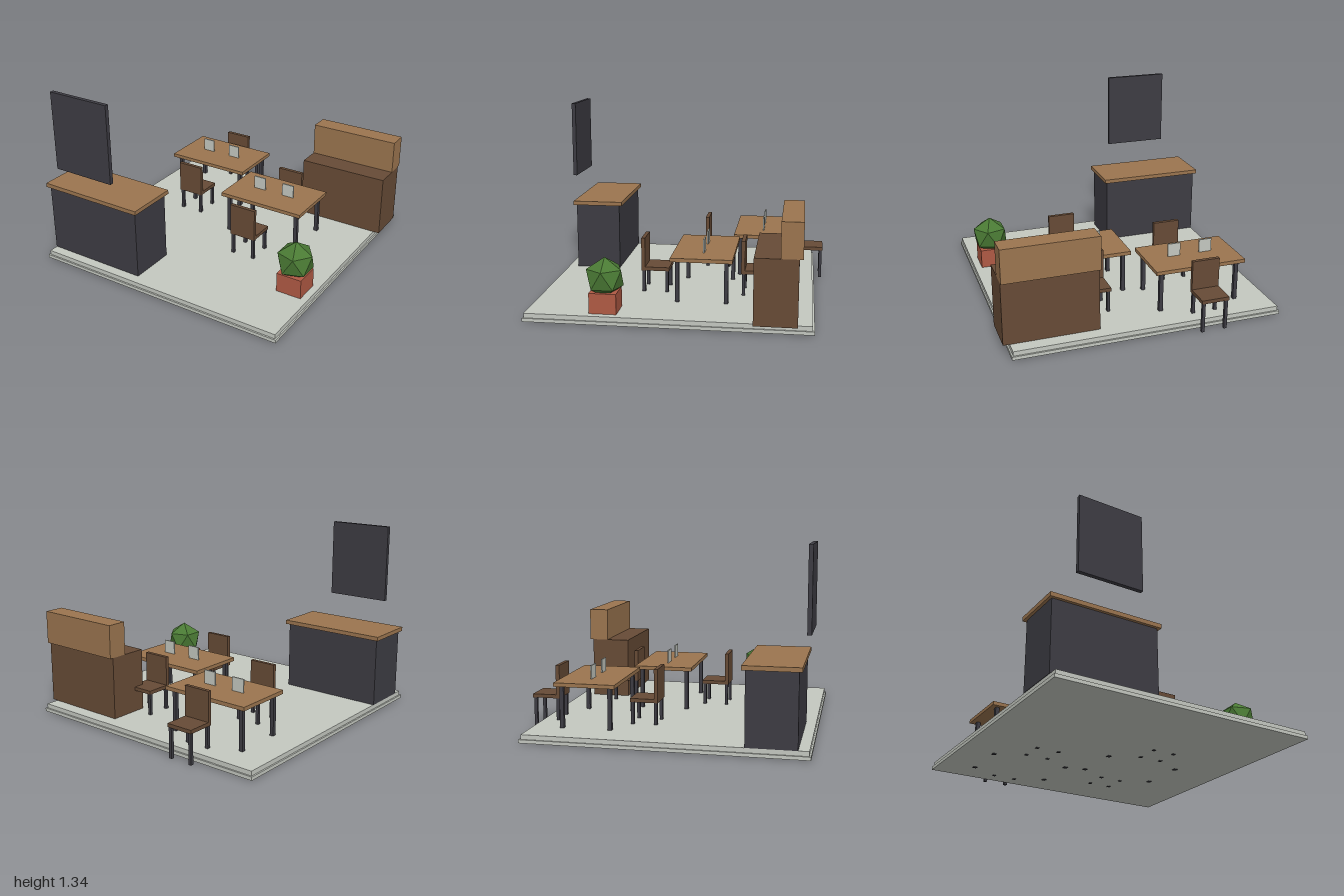
import * as THREE from 'three';
import { ConvexGeometry } from 'three/addons/geometries/ConvexGeometry.js';

const mat = (name, color) => Object.assign(new THREE.MeshStandardMaterial({ color, flatShading: true }), { name });

export function createModel() {
  const wood = mat('wood', 0x9b754f);
  const darkWood = mat('darkWood', 0x674b36);
  const charcoal = mat('charcoal', 0x3d3c43);
  const stone = mat('stone', 0xc4c8c0);
  const clay = mat('clay', 0xb05a44);
  const leaf = mat('leaf', 0x4a7a34);

  const model = new THREE.Group();
  model.name = 'cafe';

  // Box given by its limits along x, y and z
  const box = (parent, name, material, [x0, x1], [y0, y1], [z0, z1]) => {
    const mesh = new THREE.Mesh(new THREE.BoxGeometry(x1 - x0, y1 - y0, z1 - z0), material);
    mesh.position.set((x0 + x1) / 2, (y0 + y1) / 2, (z0 + z1) / 2);
    mesh.name = name;
    parent.add(mesh);
    return mesh;
  };
  const group = (name, x = 0, z = 0) => {
    const g = new THREE.Group();
    g.name = name;
    g.position.set(x, 0, z);
    model.add(g);
    return g;
  };
  // Four square legs, mirrored about the group's centre
  const legs = (parent, name, dx, dz, half, top) => {
    for (const sx of [-1, 1]) for (const sz of [-1, 1]) {
      const x = sx * dx, z = sz * dz;
      box(parent, name, charcoal, [x - half, x + half], [0, top], [z - half, z + half]);
    }
  };

  // Two-step floor
  box(model, 'floorBase', stone, [-0.978, 0.95], [0.004, 0.028], [-0.936, 0.997]);
  box(model, 'floorTop', stone, [-0.967, 0.94], [0.028, 0.06], [-0.924, 0.986]);

  // Counter with overhanging top, and the board above it
  const counter = group('counter');
  box(counter, 'counterBody', charcoal, [-0.97, -0.205], [0.06, 0.56], [0.578, 0.915]);
  box(counter, 'counterTop', wood, [-0.99, -0.185], [0.56, 0.59], [0.556, 0.936]);
  box(model, 'menuBoard', charcoal, [-0.825, -0.35], [0.765, 1.335], [0.947, 0.976]);

  // Back cabinet with a raised shelf
  const cabinet = group('cabinet');
  box(cabinet, 'cabinetBody', darkWood, [0.32, 0.985], [0.06, 0.51], [-0.828, -0.542]);
  box(cabinet, 'cabinetShelf', wood, [0.32, 0.985], [0.51, 0.75], [-0.853, -0.71]);

  // Tables, each with two upright cards and two chairs
  for (const [x, z] of [[-0.445, -0.543], [0.27, -0.163]]) {
    const table = group('table', x, z);
    box(table, 'tableTop', wood, [-0.334, 0.334], [0.354, 0.381], [-0.215, 0.215]);
    legs(table, 'tableLeg', 0.285, 0.17, 0.014, 0.354);
    for (const cx of [-0.12, 0.12])
      box(table, 'tableCard', stone, [cx - 0.047, cx + 0.047], [0.381, 0.477], [-0.005, 0.005]);

    for (const dz of [-0.357, 0.357]) {
      const chair = group('chair', x, z + dz);
      box(chair, 'seat', darkWood, [-0.1, 0.1], [0.217, 0.243], [-0.1, 0.073]);
      box(chair, 'backrest', darkWood, [-0.1, 0.1], [0.217, 0.455], [0.073, 0.1]);
      legs(chair, 'chairLeg', 0.083, 0.083, 0.011, 0.217);
    }
  }

  // Potted bush: a twenty-sided ball standing on its point
  const plant = group('plant', 0.796, 0.46);
  box(plant, 'pot', clay, [-0.093, 0.093], [0.06, 0.2], [-0.093, 0.093]);
  const r = 0.14, points = [new THREE.Vector3(0, r, 0), new THREE.Vector3(0, -r, 0)];
  for (let i = 0; i < 10; i++) {
    const a = (i * Math.PI) / 5, side = i % 2 ? -1 : 1;
    points.push(new THREE.Vector3(Math.cos(a) * 0.894 * r, side * 0.447 * r, Math.sin(a) * 0.894 * r));
  }
  const bush = new THREE.Mesh(new ConvexGeometry(points), leaf);
  bush.name = 'foliage';
  bush.position.y = 0.288;
  plant.add(bush);

  return model;
}
